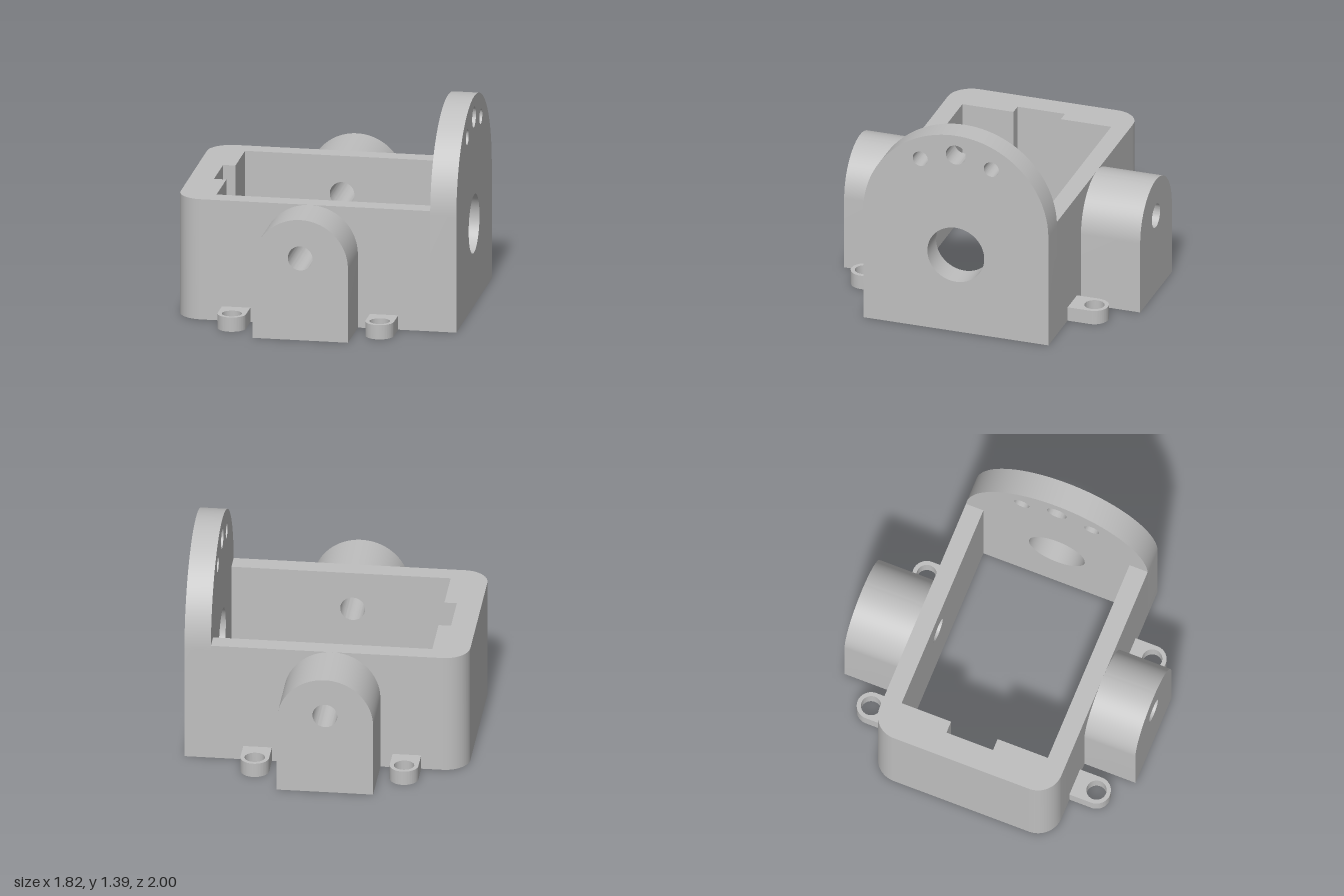
import * as THREE from 'three';
import { toCreasedNormals } from 'three/addons/utils/BufferGeometryUtils.js';

const grey = new THREE.MeshStandardMaterial({ color: 0xbfbfbf });
grey.name = 'machined grey';

// Outer limits of the box
const FRONT = 0.65, BACK = -0.6, LEFT_END = 0.91, RIGHT_END = -0.91;
const INNER_FRONT = 0.525, INNER_BACK = -0.48, WALL_TOP = 0.8;
const MID_Z = (FRONT + BACK) / 2;
const PIN = [-0.04, 0.545, 0.08];

function addHoles(shape, holes) {
  for (const [x, y, r] of holes) {
    const path = new THREE.Path();
    path.absarc(x, y, r, 0, Math.PI * 2, true);
    shape.holes.push(path);
  }
  return shape;
}

// Upright profile with a semicircular top
function arch(cx, base, cy, r, holes) {
  const s = new THREE.Shape();
  s.moveTo(cx - r, base);
  s.lineTo(cx + r, base);
  s.lineTo(cx + r, cy);
  s.absarc(cx, cy, r, 0, Math.PI, false);
  s.closePath();
  return addHoles(s, holes);
}

function extrude(shape, depth) {
  return new THREE.ExtrudeGeometry(shape, { depth, bevelEnabled: false, curveSegments: 32 });
}

export function createModel() {
  const model = new THREE.Group();
  model.name = 'mountingBracket';
  const add = (name, geometry) => {
    const mesh = new THREE.Mesh(toCreasedNormals(geometry, 0.6), grey);
    mesh.name = name;
    model.add(mesh);
  };

  // Thick end wall with rounded outer corners and a cable notch (plan, y = -z)
  const r = 0.16, inner = -0.67, notch = -0.75;
  const end = new THREE.Shape();
  end.moveTo(inner, -FRONT);
  end.lineTo(inner, -0.18);
  end.lineTo(notch, -0.18);
  end.lineTo(notch, 0.14);
  end.lineTo(inner, 0.14);
  end.lineTo(inner, -BACK);
  end.lineTo(RIGHT_END + r, -BACK);
  end.absarc(RIGHT_END + r, -BACK - r, r, Math.PI / 2, Math.PI, false);
  end.lineTo(RIGHT_END, -FRONT + r);
  end.absarc(RIGHT_END + r, -FRONT + r, r, Math.PI, Math.PI * 1.5, false);
  end.closePath();
  add('notchedEndWall', extrude(end, WALL_TOP).rotateX(-Math.PI / 2));

  // Long side walls, pierced by the pivot pin hole
  const sideProfile = () => addHoles(new THREE.Shape([
    new THREE.Vector2(inner, 0), new THREE.Vector2(0.74, 0),
    new THREE.Vector2(0.74, WALL_TOP), new THREE.Vector2(inner, WALL_TOP),
  ]), [PIN]);
  add('frontWall', extrude(sideProfile(), FRONT - INNER_FRONT).translate(0, 0, INNER_FRONT));
  add('backWall', extrude(sideProfile(), INNER_BACK - BACK).translate(0, 0, BACK));

  // Arched pivot bosses
  const boss = arch(PIN[0], 0, 0.49, 0.31, [PIN]);
  add('frontBoss', extrude(boss, 1 - FRONT).translate(0, 0, FRONT));
  add('backBoss', extrude(boss, 1 + BACK).translate(0, 0, -1));

  // Tall rounded end plate with a shaft hole and three small holes
  const plate = arch(0, 0, 0.767, 0.625, [
    [0, 0.545, 0.192], [0, 1.255, 0.067], [-0.24, 1.19, 0.051], [0.24, 1.19, 0.051],
  ]);
  add('archedEndPlate', extrude(plate, LEFT_END - 0.74)
    .rotateY(Math.PI / 2).translate(0.74, 0, MID_Z));

  // Four screw ears at the base
  const ear = arch(0, 0, 0.15, 0.092, [[0, 0.15, 0.065]]);
  for (const x of [-0.52, 0.44]) {
    const side = x < 0 ? 'Right' : 'Left';
    add('back' + side + 'Ear', extrude(ear, 0.095).rotateX(-Math.PI / 2).translate(x, 0, BACK));
    add('front' + side + 'Ear', extrude(ear, 0.095).rotateX(-Math.PI / 2)
      .rotateY(Math.PI).translate(x, 0, FRONT));
  }
  return model;
}
